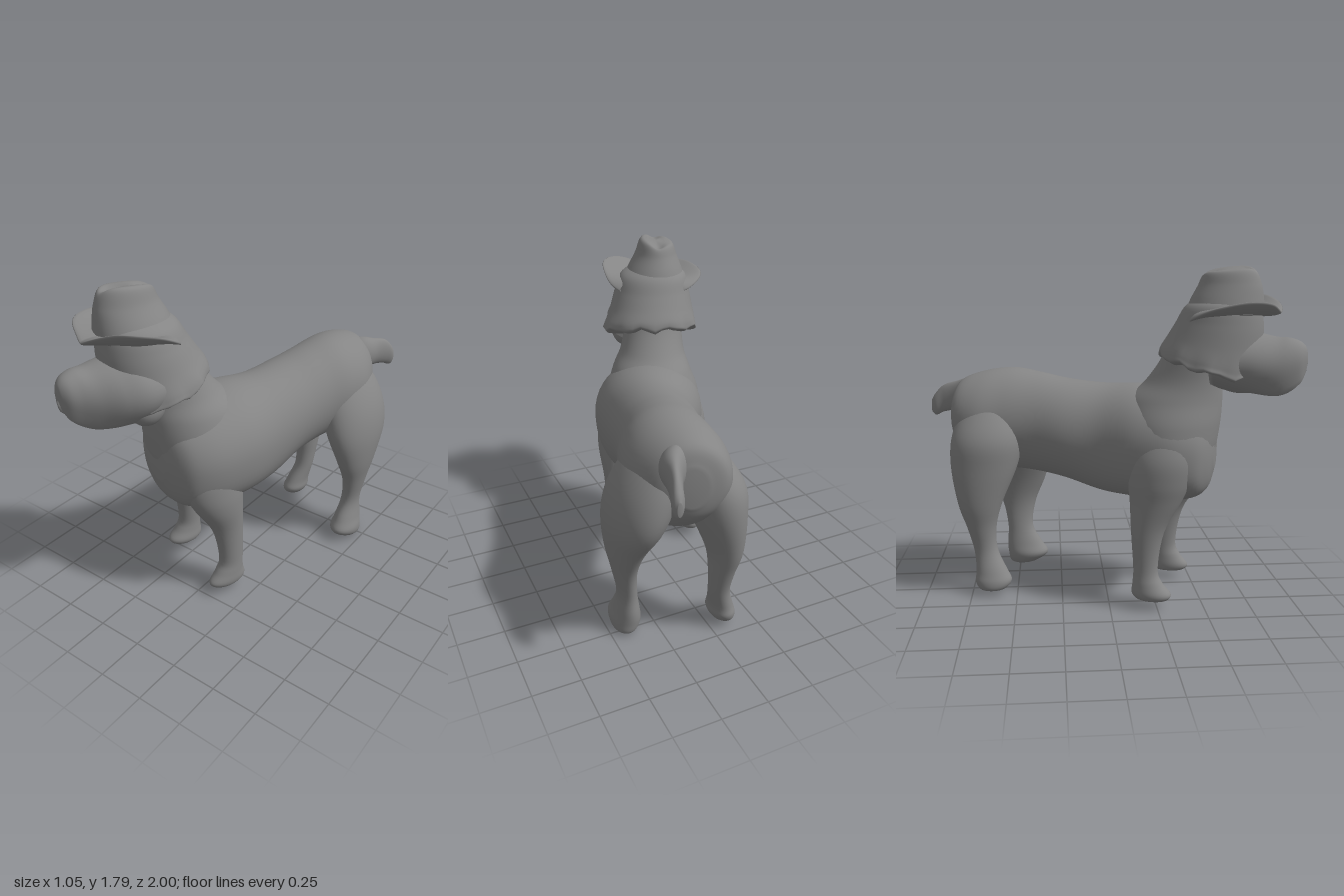
import * as THREE from 'three';
import { ParametricGeometry } from 'three/addons/geometries/ParametricGeometry.js';

const { smoothstep } = THREE.MathUtils;
const vec = (x, y, z) => new THREE.Vector3(x, y, z);
const UP = vec(0, 1, 0);
const LEFT = vec(0.954, 0, 0.3); // the dog stands turned slightly to its right
const FWD = vec(-0.3, 0, 0.954);
const COLOR = 0x858585;
const material = new THREE.MeshStandardMaterial({ color: COLOR });

// Smooth closed skin over elliptical stations [x, y, z, radius along u, radius along v].
// The path runs along u x v; warp(point, angle, t) may adjust each vertex.
function loft(name, stations, u, v, warp, rings = 48, sides = 40) {
  const centres = new THREE.CatmullRomCurve3(stations.map(s => vec(s[0], s[1], s[2])), false, 'catmullrom', 0.5);
  const radii = new THREE.CatmullRomCurve3(stations.map(s => vec(s[3], s[4], 0)), false, 'catmullrom', 0.5);
  const pos = [], index = [];
  for (let i = 0; i <= rings; i++) {
    const t = i / rings, c = centres.getPoint(t), r = radii.getPoint(t);
    for (let j = 0; j < sides; j++) {
      const a = (j / sides) * Math.PI * 2;
      const p = c.clone().addScaledVector(u, r.x * Math.cos(a)).addScaledVector(v, r.y * Math.sin(a));
      if (warp) warp(p, a, t);
      pos.push(p.x, p.y, p.z);
    }
  }
  // end poles at the mean of the end rings
  for (const ring of [0, rings]) {
    const m = vec(0, 0, 0);
    for (let j = 0; j < sides; j++) {
      const k = (ring * sides + j) * 3;
      m.add(vec(pos[k], pos[k + 1], pos[k + 2]));
    }
    m.divideScalar(sides);
    pos.push(m.x, m.y, m.z);
  }
  const first = (rings + 1) * sides, last = rings * sides;
  for (let j = 0; j < sides; j++) {
    const k = (j + 1) % sides;
    for (let i = 0; i < rings; i++) {
      const a = i * sides + j, b = i * sides + k;
      index.push(a, b, a + sides, b, b + sides, a + sides);
    }
    index.push(first, k, j, first + 1, last + j, last + k);
  }
  const geo = new THREE.BufferGeometry();
  geo.setAttribute('position', new THREE.Float32BufferAttribute(pos, 3));
  geo.setIndex(index);
  geo.computeVertexNormals();
  const mesh = new THREE.Mesh(geo, material);
  mesh.name = name;
  return mesh;
}

// Curved hat brim, a thin closed strip wrapping the front and sides
function makeBrim() {
  const reach = 2.2;
  const geo = new ParametricGeometry((s, w, out) => {
    const b = s * 2 - 1, a = b * reach - 0.1, th = w * Math.PI * 2;
    const outer = 0.295 - 0.07 * Math.pow(b, 6) + 0.006 * Math.sin(7 * a);
    const mid = (outer + 0.12) / 2, half = (outer - 0.12) / 2;
    const r = mid + half * Math.cos(th);
    const k = (r - 0.12) / (outer - 0.12);
    const lift = (a > 0 ? 0.09 : 0.055) * Math.sin(1.7 * Math.abs(a)) * k * k;
    out.set(-0.237, 1.56 + lift + 0.018 * Math.sin(th), 0.588)
      .addScaledVector(LEFT, r * Math.sin(a)).addScaledVector(FWD, r * Math.cos(a));
  }, 64, 20);
  const mesh = new THREE.Mesh(geo, new THREE.MeshStandardMaterial({ color: COLOR, side: THREE.DoubleSide }));
  mesh.name = 'hatBrim';
  return mesh;
}

export function createModel() {
  const model = new THREE.Group();
  model.name = 'dogWithHat';

  // torso, rump to chest, squared off below the chest
  model.add(loft('torso', [
    [0.2, 0.98, -0.825, 0.07, 0.1], [0.19, 0.985, -0.785, 0.18, 0.195],
    [0.18, 0.955, -0.65, 0.25, 0.275], [0.165, 0.96, -0.5, 0.25, 0.285],
    [0.125, 0.94, -0.35, 0.235, 0.28], [0.08, 0.91, -0.2, 0.24, 0.28],
    [0.03, 0.87, 0, 0.255, 0.3], [-0.045, 0.865, 0.2, 0.305, 0.31],
    [-0.11, 0.85, 0.37, 0.31, 0.3], [-0.15, 0.84, 0.49, 0.265, 0.265],
    [-0.17, 0.84, 0.55, 0.19, 0.21], [-0.18, 0.84, 0.58, 0.08, 0.1],
  ], LEFT, UP, (p, a, t) => {
    const s = Math.min(0, Math.sin(a));
    const chest = smoothstep(t, 0.45, 0.65) * (1 - smoothstep(t, 0.82, 0.95));
    p.addScaledVector(LEFT, chest * 0.09 * s * s * Math.cos(a));
  }, 60, 48));

  // neck, top to bottom
  model.add(loft('neck', [
    [-0.2, 1.45, 0.47, 0.15, 0.14], [-0.18, 1.32, 0.445, 0.165, 0.165],
    [-0.155, 1.2, 0.405, 0.185, 0.205], [-0.13, 1.1, 0.36, 0.225, 0.255],
    [-0.13, 0.97, 0.34, 0.265, 0.265], [-0.13, 0.82, 0.34, 0.27, 0.235], [-0.13, 0.7, 0.34, 0.2, 0.16],
  ], LEFT, FWD));

  // legs, from inside the body down to the paw
  const frontLegs = {
    frontLeftLeg: [
      [-0.03, 1.08, 0.37, 0.08, 0.1], [0.0, 0.96, 0.39, 0.12, 0.15], [0.03, 0.82, 0.41, 0.14, 0.175],
      [0.06, 0.69, 0.415, 0.128, 0.168], [0.085, 0.58, 0.405, 0.105, 0.14], [0.11, 0.42, 0.365, 0.07, 0.09],
      [0.12, 0.22, 0.35, 0.056, 0.07], [0.117, 0.14, 0.365, 0.058, 0.085],
      [0.113, 0.085, 0.38, 0.06, 0.112], [0.112, 0.055, 0.38, 0.048, 0.09], [0.112, 0.047, 0.38, 0.02, 0.04]],
    frontRightLeg: [
      [-0.22, 1.08, 0.31, 0.08, 0.1], [-0.255, 0.96, 0.3, 0.115, 0.15], [-0.285, 0.82, 0.28, 0.137, 0.175],
      [-0.295, 0.69, 0.26, 0.128, 0.165], [-0.3, 0.58, 0.24, 0.105, 0.135], [-0.31, 0.42, 0.2, 0.072, 0.088],
      [-0.315, 0.22, 0.19, 0.058, 0.065], [-0.322, 0.14, 0.2, 0.063, 0.08],
      [-0.328, 0.085, 0.22, 0.07, 0.105], [-0.33, 0.055, 0.225, 0.055, 0.085], [-0.33, 0.047, 0.225, 0.02, 0.04]],
  };
  const backLegs = {
    backLeftLeg: [
      [0.21, 1.15, -0.56, 0.07, 0.1], [0.265, 1.03, -0.56, 0.135, 0.19], [0.33, 0.88, -0.55, 0.155, 0.24],
      [0.38, 0.72, -0.535, 0.138, 0.24], [0.412, 0.55, -0.505, 0.095, 0.165], [0.415, 0.4, -0.5, 0.062, 0.1],
      [0.4, 0.25, -0.495, 0.05, 0.075], [0.398, 0.14, -0.47, 0.066, 0.105],
      [0.4, 0.075, -0.45, 0.08, 0.12], [0.41, 0.025, -0.475, 0.062, 0.085], [0.412, 0.005, -0.49, 0.025, 0.035]],
    backRightLeg: [
      [0.13, 1.15, -0.62, 0.07, 0.1], [0.08, 1.03, -0.63, 0.14, 0.16], [0.01, 0.88, -0.65, 0.16, 0.195],
      [-0.02, 0.72, -0.67, 0.135, 0.18], [-0.05, 0.52, -0.695, 0.09, 0.12], [-0.045, 0.38, -0.69, 0.067, 0.08],
      [-0.045, 0.25, -0.67, 0.055, 0.065], [-0.07, 0.14, -0.64, 0.062, 0.085],
      [-0.08, 0.085, -0.63, 0.07, 0.1], [-0.09, 0.045, -0.635, 0.056, 0.075], [-0.092, 0.03, -0.64, 0.02, 0.03]],
  };
  for (const [name, stations] of Object.entries(frontLegs)) model.add(loft(name, stations, LEFT, FWD));
  for (const [name, stations] of Object.entries(backLegs)) {
    model.add(loft(name, stations, vec(1, 0, 0), vec(0, 0, 1)));
  }

  // tail, tip to root
  model.add(loft('tail', [
    [0.35, 1.005, -0.995, 0.012, 0.035], [0.345, 1.015, -0.97, 0.03, 0.065], [0.33, 1.05, -0.92, 0.032, 0.078],
    [0.3, 1.07, -0.84, 0.045, 0.085], [0.25, 1.075, -0.74, 0.085, 0.105], [0.2, 1.04, -0.62, 0.08, 0.08],
  ], vec(1, 0, 0), UP));

  // head with a ragged ruff whose lower edge slopes down to the front
  model.add(loft('head', [
    [-0.255, 1.64, 0.6, 0.12, 0.14], [-0.243, 1.59, 0.585, 0.19, 0.195], [-0.23, 1.5, 0.572, 0.22, 0.225],
    [-0.215, 1.4, 0.55, 0.245, 0.245], [-0.2, 1.31, 0.53, 0.27, 0.26], [-0.2, 1.275, 0.53, 0.265, 0.25],
    [-0.2, 1.265, 0.53, 0.17, 0.16],
  ], LEFT, FWD, (p, a, t) => {
    const tilt = smoothstep(t, 0.15, 0.7), rag = smoothstep(t, 0.5, 0.85);
    const out = vec(p.x + 0.2, 0, p.z - 0.53);
    p.y += rag * (0.01 * Math.sin(9 * a) + 0.006 * Math.sin(14 * a + 1)) - tilt * 0.25 * out.dot(FWD);
    p.addScaledVector(out, rag * 0.03 * Math.sin(11 * a));
  }));

  // muzzle tapering to the nose, with hanging flaps either side of an arched mouth
  model.add(loft('muzzle', [
    [-0.2, 1.32, 0.55, 0.24, 0.14], [-0.23, 1.31, 0.68, 0.228, 0.168], [-0.275, 1.3, 0.77, 0.198, 0.16],
    [-0.325, 1.295, 0.85, 0.15, 0.147], [-0.355, 1.305, 0.91, 0.113, 0.133], [-0.37, 1.32, 0.96, 0.08, 0.1],
    [-0.375, 1.33, 0.988, 0.042, 0.06], [-0.376, 1.33, 0.997, 0.015, 0.02],
  ], LEFT, UP, (p, a, t) => {
    const c = Math.cos(a), s = Math.sin(a);
    if (s < 0) {
      const front = smoothstep(t, 0.1, 0.5) * Math.min(1, (1 - t) * 4);
      p.y += front * -s * (0.1 * Math.exp(-c * c * 6) - 0.06 * Math.exp(-Math.pow((Math.abs(c) - 0.7) * 4, 2)));
    }
  }));

  // beard under the left cheek
  const beard = new THREE.Mesh(new THREE.SphereGeometry(1, 24, 16), material);
  beard.name = 'beard';
  beard.scale.set(0.085, 0.1, 0.1);
  beard.position.set(-0.11, 1.235, 0.69);
  model.add(beard);

  // hat crown, top to bottom, creased front to back
  model.add(loft('hatCrown', [
    [-0.275, 1.785, 0.61, 0.05, 0.08], [-0.275, 1.772, 0.61, 0.093, 0.13], [-0.272, 1.7, 0.61, 0.122, 0.16],
    [-0.262, 1.63, 0.6, 0.155, 0.185], [-0.25, 1.55, 0.59, 0.19, 0.205],
  ], LEFT, FWD, (p, a, t) => {
    const side = (p.x + 0.275) * LEFT.x + (p.z - 0.61) * LEFT.z;
    const top = 1 - smoothstep(t, 0.1, 0.45);
    p.y += top * (0.12 * side + 0.09 * (p.z - 0.61) - 0.025 * Math.exp(-Math.pow(side / 0.035, 2)));
  }));
  model.add(makeBrim());

  return model;
}
